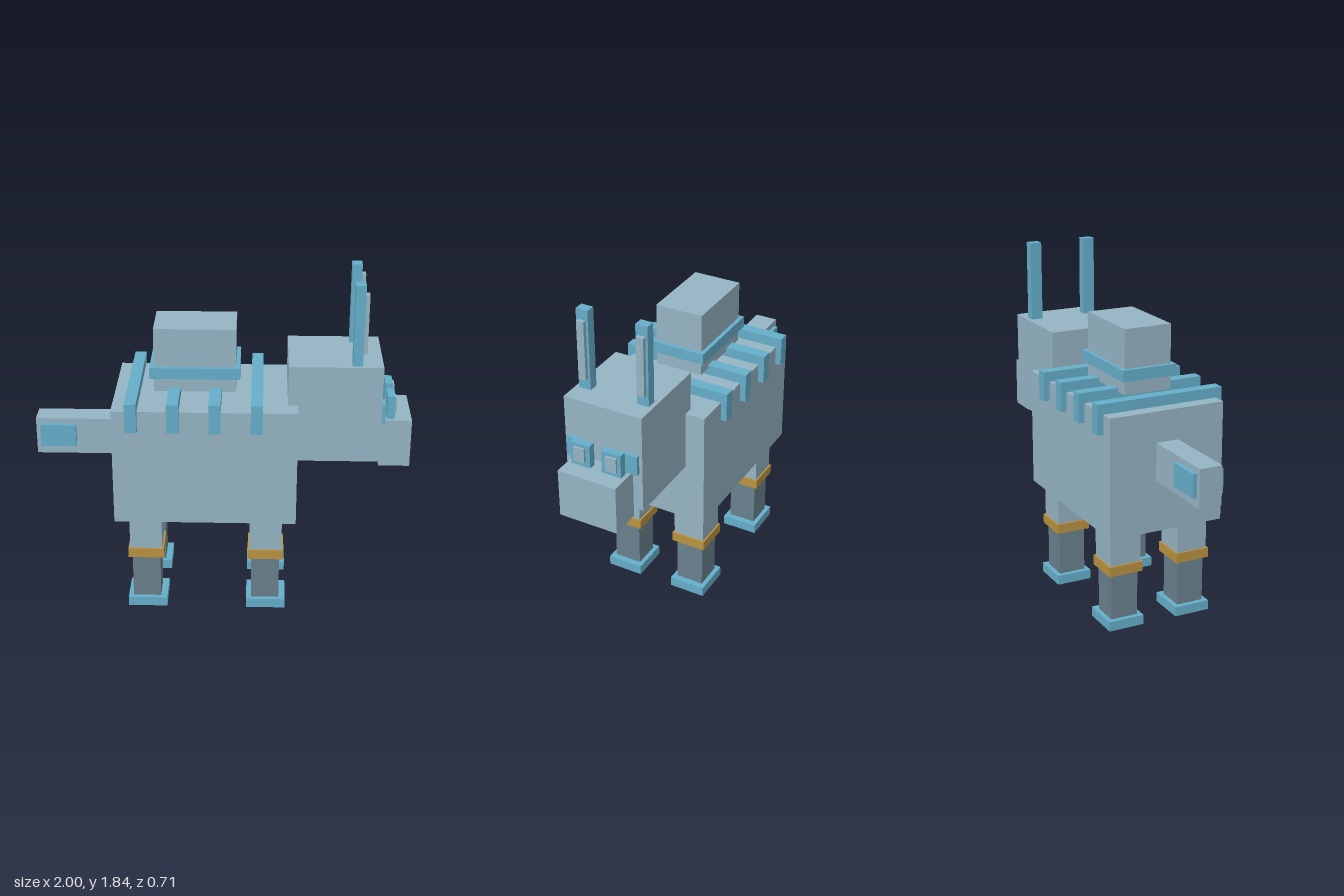
import * as THREE from 'three';

const mat = (name, color) => {
  const m = new THREE.MeshStandardMaterial({ color });
  m.name = name;
  return m;
};

export function createModel() {
  const armour = mat('pale blue grey', 0x95b4c4);
  const trim = mat('bright blue', 0x66aeca);
  const gold = mat('gold', 0xb9933f);
  const shin = mat('slate grey', 0x69818d);
  const model = new THREE.Group();
  model.name = 'blockAnimal';

  // Box given by its low and high limits on each axis
  const box = (name, material, [x0, x1], [y0, y1], [z0, z1], parent = model) => {
    const mesh = new THREE.Mesh(new THREE.BoxGeometry(x1 - x0, y1 - y0, z1 - z0), material);
    mesh.position.set((x0 + x1) / 2, (y0 + y1) / 2, (z0 + z1) / 2);
    mesh.name = name;
    parent.add(mesh);
  };
  const centred = (c, width) => [c - width / 2, c + width / 2];
  const wide = (width) => centred(0, width);

  // Body with ribs wrapped over the back
  box('body', armour, [-0.567, 0.4], [0.545, 1.19], wide(0.647));
  for (const x of [-0.463, -0.247, -0.03, 0.187]) {
    box('backRib', trim, centred(x, 0.062), [1.085, 1.245], wide(0.713));
  }

  // Pack resting on the ribs
  box('pack', armour, [-0.353, 0.075], [1.225, 1.572], wide(0.265));
  box('packBand', trim, [-0.376, 0.097], [1.302, 1.363], wide(0.308));

  // Tail
  box('tail', armour, [-1, -0.567], [0.82, 1.025], wide(0.125));
  box('tailPanel', trim, [-0.975, -0.785], [0.87, 0.995], wide(0.17));

  // Head and snout
  box('head', armour, [0.347, 0.835], [0.87, 1.405], wide(0.435));
  box('snout', armour, [0.835, 1], [0.82, 1.085], wide(0.327));

  // Ears, eyes and nostrils on both sides
  for (const s of [-1, 1]) {
    box('ear', trim, [0.675, 0.727], [1.405, 1.84], centred(s * 0.163, 0.066));
    box('innerEar', armour, [0.727, 0.748], [1.465, 1.785], centred(s * 0.163, 0.041));
    box('eye', trim, [0.835, 0.857], [1.085, 1.192], centred(s * 0.164, 0.072));
    box('nostril', trim, [0.87, 0.91], [1.085, 1.212], centred(s * 0.087, 0.109));
    box('nostrilFace', armour, [0.91, 0.921], [1.11, 1.192], centred(s * 0.09, 0.062));
  }

  // Four legs
  for (const x of [-0.405, 0.241]) {
    for (const z of [-0.197, 0.197]) {
      const leg = new THREE.Group();
      leg.name = x > 0 ? 'frontLeg' : 'backLeg';
      model.add(leg);
      box('thigh', armour, centred(x, 0.173), [0.36, 0.545], centred(z, 0.173), leg);
      box('kneeBand', gold, centred(x, 0.192), [0.306, 0.36], centred(z, 0.192), leg);
      box('shin', shin, centred(x, 0.151), [0.053, 0.306], centred(z, 0.151), leg);
      box('foot', trim, centred(x + 0.004, 0.213), [0, 0.053], centred(z, 0.2), leg);
    }
  }
  return model;
}
